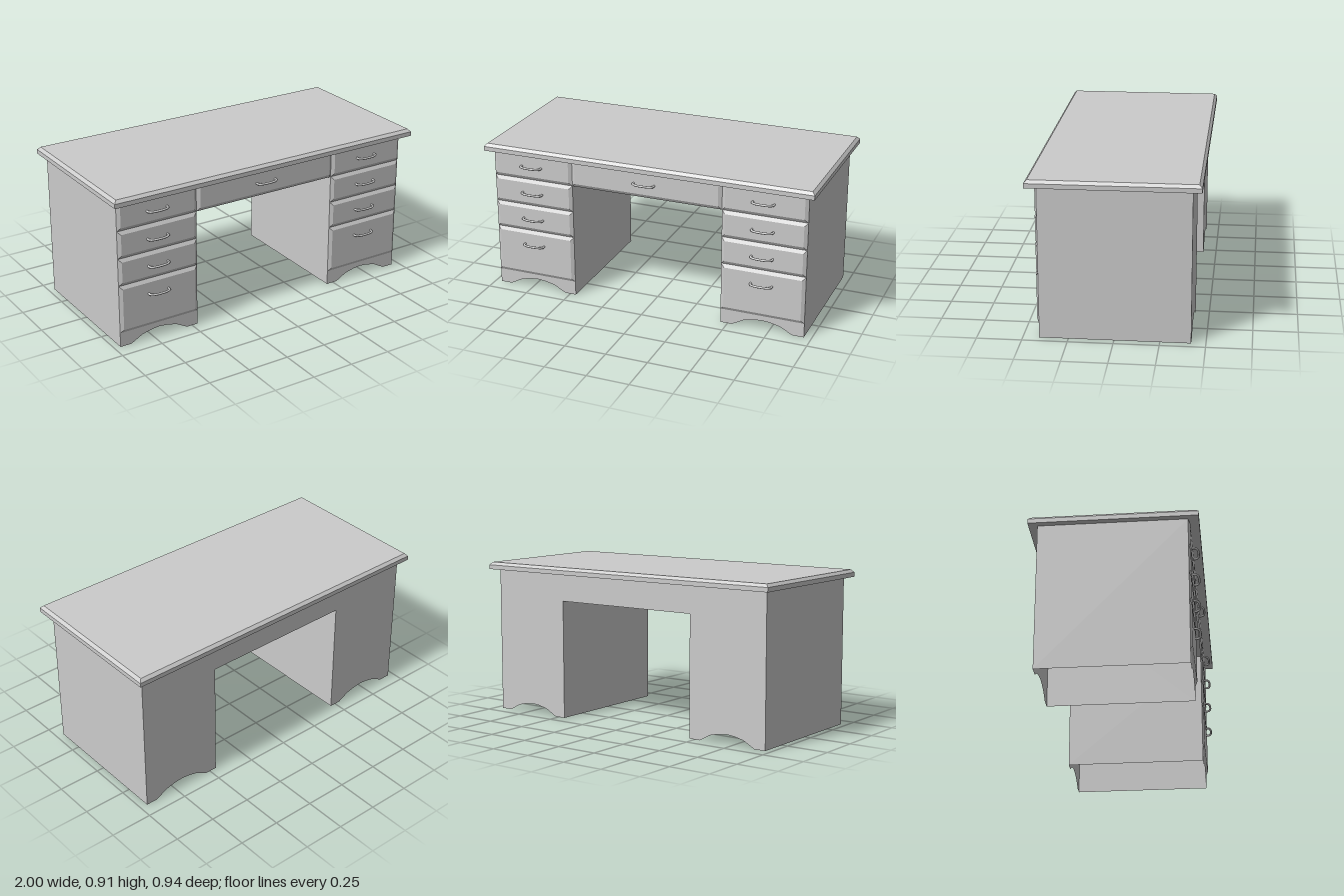
import * as THREE from 'three';

const material = new THREE.MeshStandardMaterial({ color: 0xcccccc, side: THREE.DoubleSide });
const flatMaterial = new THREE.MeshStandardMaterial({ color: 0xcccccc, side: THREE.DoubleSide, flatShading: true });

const FRONT = 0.41, BACK = -0.42, TOP = 0.867, KNEE = 0.705, BEVEL = 0.02, FACE = 0.012;
const PEDESTAL_W = 0.5, INNER = 0.46, OUTER = INNER + PEDESTAL_W;

// Stacked rectangles [width, height, z] joined into a shell; optional flat cap behind, always capped in front.
function rectShell(rings, capBack) {
  const pos = [], index = [];
  for (const [w, h, z] of rings) {
    pos.push(-w / 2, -h / 2, z, w / 2, -h / 2, z, w / 2, h / 2, z, -w / 2, h / 2, z);
  }
  for (let r = 0; r < rings.length - 1; r++) {
    for (let i = 0; i < 4; i++) {
      const a = r * 4 + i, b = r * 4 + (i + 1) % 4;
      index.push(a, b, b + 4, a, b + 4, a + 4);
    }
  }
  const n = (rings.length - 1) * 4;
  index.push(n, n + 1, n + 2, n, n + 2, n + 3);
  if (capBack) index.push(0, 2, 1, 0, 3, 2);
  const g = new THREE.BufferGeometry();
  g.setAttribute('position', new THREE.Float32BufferAttribute(pos, 3));
  g.setIndex(index);
  const flat = g.toNonIndexed();
  flat.computeVertexNormals();
  return flat;
}

function add(parent, name, geometry, x = 0, y = 0, z = 0, mat = flatMaterial) {
  const mesh = new THREE.Mesh(geometry, mat);
  mesh.name = name;
  mesh.position.set(x, y, z);
  parent.add(mesh);
  return mesh;
}

// Scalloped foot edge, from x0 to x0 + PEDESTAL_W
const footEdge = (x0) => [[0, 0], [0.07, 0], [0.14, 0.038], [0.2, 0.052], [0.25, 0.057], [0.3, 0.052],
  [0.36, 0.038], [0.43, 0], [0.5, 0]].map(([x, y]) => new THREE.Vector2(x0 + x, y));

// Bowed pull: short legs out of the drawer face joined by a gently curved bar
function handleGeometry() {
  const points = [[-0.062, 0], [-0.062, 0.014], [-0.05, 0.026], [-0.025, 0.032], [0, 0.033],
    [0.025, 0.032], [0.05, 0.026], [0.062, 0.014], [0.062, 0]].map(([x, z]) => new THREE.Vector3(x, 0, z));
  return new THREE.TubeGeometry(new THREE.CatmullRomCurve3(points), 28, 0.0065, 10);
}

function addDrawer(parent, x, width, bottom, top, handleY) {
  const drawer = new THREE.Group();
  drawer.name = 'drawer';
  const h = top - bottom;
  add(drawer, 'drawerFront', rectShell([[width, h, 0], [width - 2 * BEVEL, h - 2 * BEVEL, FACE]], false),
    x, (top + bottom) / 2, FRONT);
  add(drawer, 'drawerHandle', handleGeometry(), x - 0.006, handleY, FRONT + FACE, material);
  parent.add(drawer);
}

export function createModel() {
  const desk = new THREE.Group();
  desk.name = 'desk';

  // Tabletop with a chamfered upper edge
  const top = add(desk, 'tabletop', rectShell([[2, 0.94, 0], [2, 0.94, 0.026], [1.968, 0.908, 0.043]], true), 0, TOP);
  top.rotation.x = -Math.PI / 2;

  const body = new THREE.Group();
  body.name = 'body';
  body.position.x = -0.004;
  desk.add(body);

  // One back panel around the knee hole
  const back = new THREE.Shape([
    ...footEdge(-OUTER), new THREE.Vector2(-INNER, KNEE), new THREE.Vector2(INNER, KNEE),
    ...footEdge(INNER), new THREE.Vector2(OUTER, TOP), new THREE.Vector2(-OUTER, TOP),
  ]);
  add(body, 'backPanel', new THREE.ShapeGeometry(back).rotateY(Math.PI), 0, 0, BACK);

  // Pedestals: outer and inner walls, scalloped foot, four drawers
  const levels = [TOP, 0.703, 0.539, 0.375, 0.086];
  const handles = [0.786, 0.62, 0.456, 0.287];
  const depth = FRONT - BACK, midZ = (FRONT + BACK) / 2;
  for (const side of [-1, 1]) {
    const pedestal = new THREE.Group();
    pedestal.name = side > 0 ? 'leftPedestal' : 'rightPedestal';
    body.add(pedestal);
    const x = side * (INNER + OUTER) / 2;

    const outer = add(pedestal, 'outerWall', new THREE.PlaneGeometry(depth, TOP), side * OUTER, TOP / 2, midZ);
    outer.rotation.y = side * Math.PI / 2;
    const inner = add(pedestal, 'innerWall', new THREE.PlaneGeometry(depth, KNEE), side * INNER, KNEE / 2, midZ);
    inner.rotation.y = -side * Math.PI / 2;

    const x0 = x - PEDESTAL_W / 2;
    const foot = new THREE.Shape([...footEdge(x0),
      new THREE.Vector2(x0 + PEDESTAL_W, levels[4]), new THREE.Vector2(x0, levels[4])]);
    add(pedestal, 'footPanel', new THREE.ShapeGeometry(foot), 0, 0, FRONT);

    handles.forEach((y, i) => addDrawer(pedestal, x, PEDESTAL_W, levels[i + 1], levels[i], y));
  }

  // Wide centre drawer over the knee hole
  addDrawer(body, 0, INNER * 2, levels[1], TOP, handles[0]);
  return desk;
}
